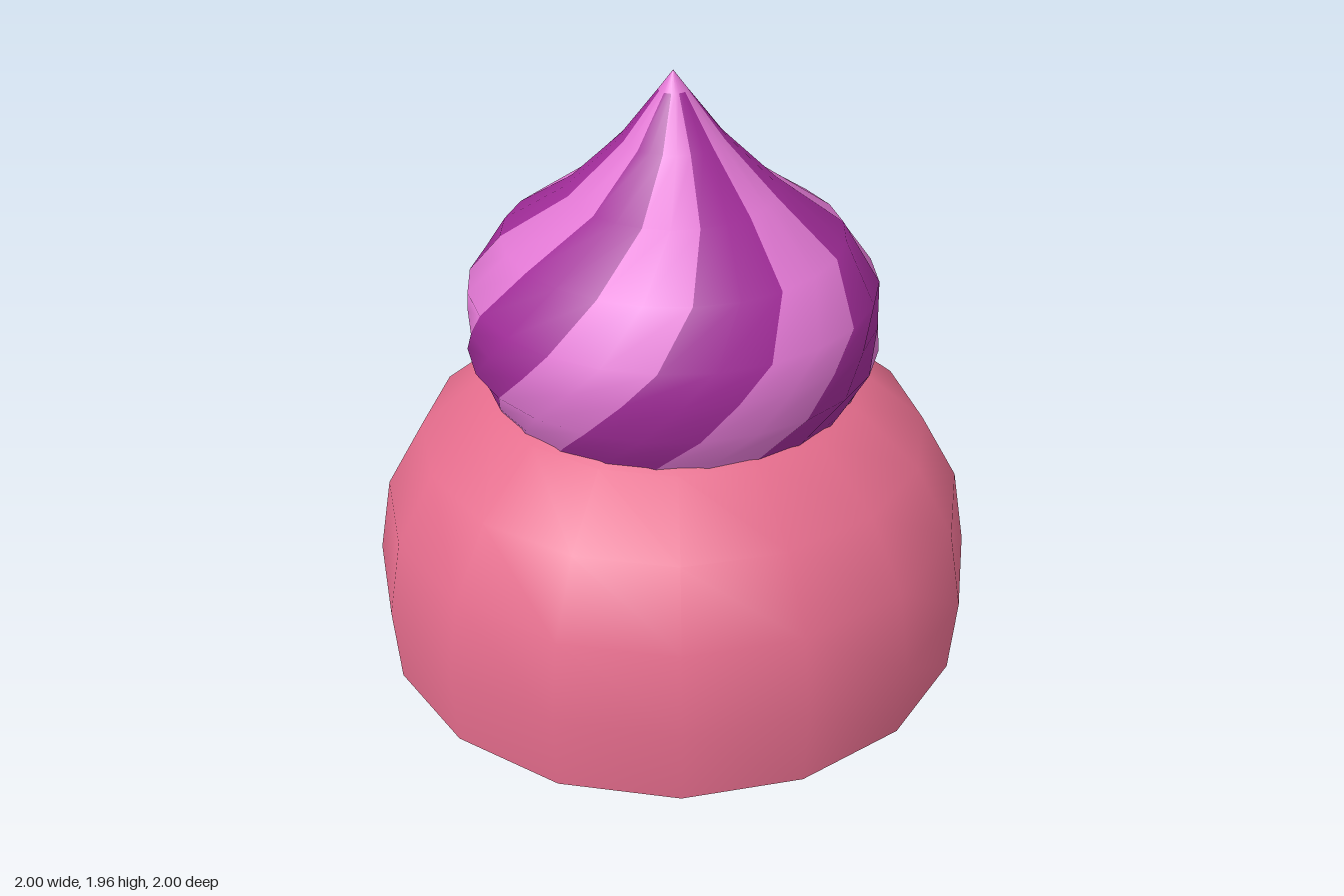
import * as THREE from 'three';

const pink = new THREE.MeshStandardMaterial({ color: 0xe46c8c, side: THREE.DoubleSide });
pink.name = 'pinkCake';
const lilac = new THREE.MeshStandardMaterial({ color: 0xe077d2, side: THREE.DoubleSide });
lilac.name = 'lilacCream';
const purple = new THREE.MeshStandardMaterial({ color: 0xa02c98, side: THREE.DoubleSide });
purple.name = 'purpleCream';

// Cream rings: radius, height, twist of the stripes in degrees
const RINGS = [
  [0.56, 0.85, -6], [0.605, 0.95, 3], [0.66, 1.06, 13], [0.655, 1.17, 23], [0.65, 1.28, 32],
  [0.54, 1.44, 42], [0.33, 1.585, 50], [0.16, 1.75, 55], [0.045, 1.9, 59], [0, 1.96, 60],
];
const STRIPES = 6;
const PER_BAND = 2; // segments across one coloured band

function swirlGeometry() {
  const cols = STRIPES * 2 * PER_BAND;
  const step = (Math.PI * 2) / cols;
  const positions = [];
  for (const [r, y, twist] of RINGS) {
    for (let i = 0; i < cols; i++) {
      // each purple band is centred on the twist angle
      const a = (i - PER_BAND / 2) * step + THREE.MathUtils.degToRad(twist);
      positions.push(r * Math.sin(a), y, r * Math.cos(a));
    }
  }
  // gather faces by colour: 0 = purple bands, 1 = lilac bands and the tip
  const faces = [[], []];
  for (let j = 0; j < RINGS.length - 1; j++) {
    const tip = j === RINGS.length - 2;
    for (let i = 0; i < cols; i++) {
      const n = (i + 1) % cols;
      const a = j * cols + i, b = j * cols + n;
      const c = a + cols, d = b + cols;
      const list = faces[tip ? 1 : Math.floor(i / PER_BAND) % 2];
      list.push(a, b, d);
      if (!tip) list.push(a, d, c);
    }
  }
  const geometry = new THREE.BufferGeometry();
  geometry.setAttribute('position', new THREE.Float32BufferAttribute(positions, 3));
  geometry.setIndex([...faces[0], ...faces[1]]);
  geometry.addGroup(0, faces[0].length, 0);
  geometry.addGroup(faces[0].length, faces[1].length, 1);
  geometry.computeVertexNormals();
  return geometry;
}

export function createModel() {
  const group = new THREE.Group();
  group.name = 'creamToppedCake';

  // Hollow domed base, open underneath
  const profile = [
    [0.98, 0], [1, 0.26], [0.955, 0.52], [0.83, 0.745], [0.62, 0.922], [0.33, 1.02], [0, 1.05],
  ].map(([r, y]) => new THREE.Vector2(r, y));
  const base = new THREE.Mesh(new THREE.LatheGeometry(profile, 16), pink);
  base.name = 'cakeBase';

  // Twisted, striped cream on top
  const swirl = new THREE.Mesh(swirlGeometry(), [purple, lilac]);
  swirl.name = 'creamSwirl';

  group.add(base, swirl);
  return group;
}
